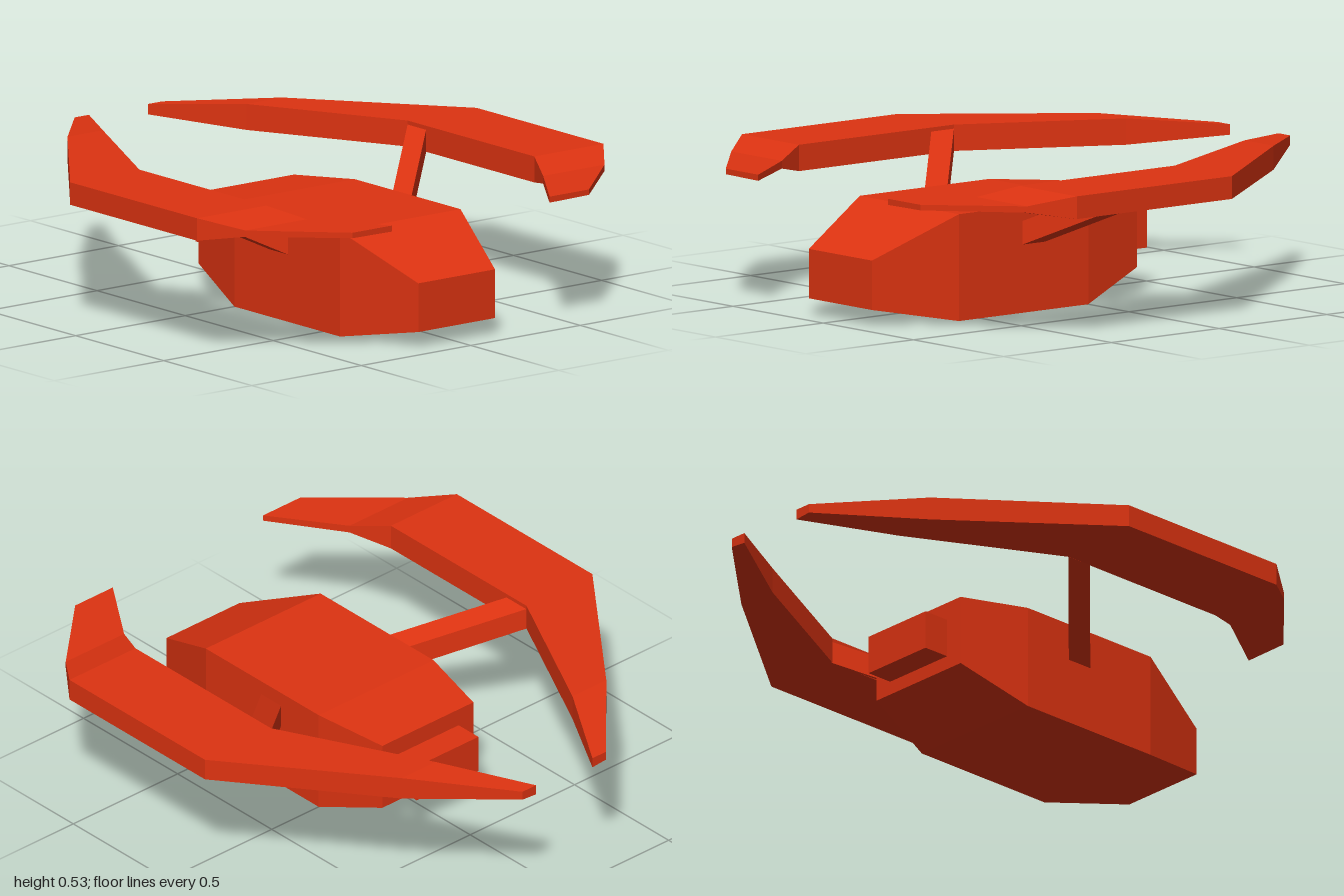
import * as THREE from 'three';

// Skin a row of four-cornered sections, with end caps; faces always point outward
function loft(sections) {
  const tris = [];
  const quad = (a, b, c, d) => tris.push([a, b, c], [a, c, d]);
  for (let i = 0; i < sections.length - 1; i++) {
    const p = sections[i], q = sections[i + 1];
    for (let k = 0; k < 4; k++) {
      const n = (k + 1) % 4;
      quad(p[k], p[n], q[n], q[k]);
    }
  }
  const s = sections[0], e = sections[sections.length - 1];
  quad(s[3], s[2], s[1], s[0]);
  quad(e[0], e[1], e[2], e[3]);

  // A negative enclosed volume means the winding is inside out
  const v = (p) => new THREE.Vector3(...p);
  const volume = tris.reduce((sum, [a, b, c]) => sum + v(a).dot(v(b).cross(v(c))), 0);
  if (volume < 0) tris.forEach((t) => t.reverse());

  const geometry = new THREE.BufferGeometry();
  geometry.setAttribute('position', new THREE.Float32BufferAttribute(tris.flat(2), 3));
  geometry.computeVertexNormals();
  return geometry;
}

export function createModel() {
  const group = new THREE.Group();
  const red = new THREE.MeshStandardMaterial({ color: 0xdd3311 });
  red.name = 'red';

  const add = (name, geometry) => {
    const mesh = new THREE.Mesh(geometry, red);
    mesh.name = name;
    group.add(mesh);
    return mesh;
  };

  // Hull: x, bottom, top, half width
  const hull = [
    [-0.275, 0.1, 0.36, 0.218],
    [0, 0, 0.385, 0.275],
    [0.6, 0, 0.385, 0.275],
    [0.92, 0.06, 0.238, 0.175],
  ];
  add('hull', loft(hull.map(([x, b, t, w]) => [[x, b, -w], [x, b, w], [x, t, w], [x, t, -w]])));

  // Engine block at the tail
  add('engine', new THREE.BoxGeometry(0.125, 0.143, 0.295)).position.set(-0.3175, 0.222, 0);

  // Wing: x, inner z, outer z, inner bottom, outer bottom, top
  const wing = [
    [-1, 0.135, 0.2, 0.46, 0.465, 0.498],
    [-0.68, 0.328, 0.49, 0.433, 0.442, 0.528],
    [-0.12, 0.612, 0.928, 0.433, 0.446, 0.528],
    [0.6, 0.612, 0.928, 0.433, 0.446, 0.528],
    [0.74, 0.54, 0.82, 0.465, 0.47, 0.493],
    [1, 0.36, 0.54, 0.469, 0.471, 0.491],
  ];
  // Strut: z, first x, last x, bottom, top
  const strut = [
    [0.27, 0.205, 0.31, 0.243, 0.328],
    [0.615, -0.122, -0.017, 0.433, 0.515],
  ];

  for (const [side, m] of [['front', 1], ['back', -1]]) {
    add(side + 'Wing', loft(wing.map(([x, zi, zo, bi, bo, t]) =>
      [[x, bi, m * zi], [x, bo, m * zo], [x, t, m * zo], [x, t, m * zi]])));
    add(side + 'Strut', loft(strut.map(([z, x0, x1, b, t]) =>
      [[x0, b, m * z], [x1, b, m * z], [x1, t, m * z], [x0, t, m * z]])));
  }
  return group;
}
